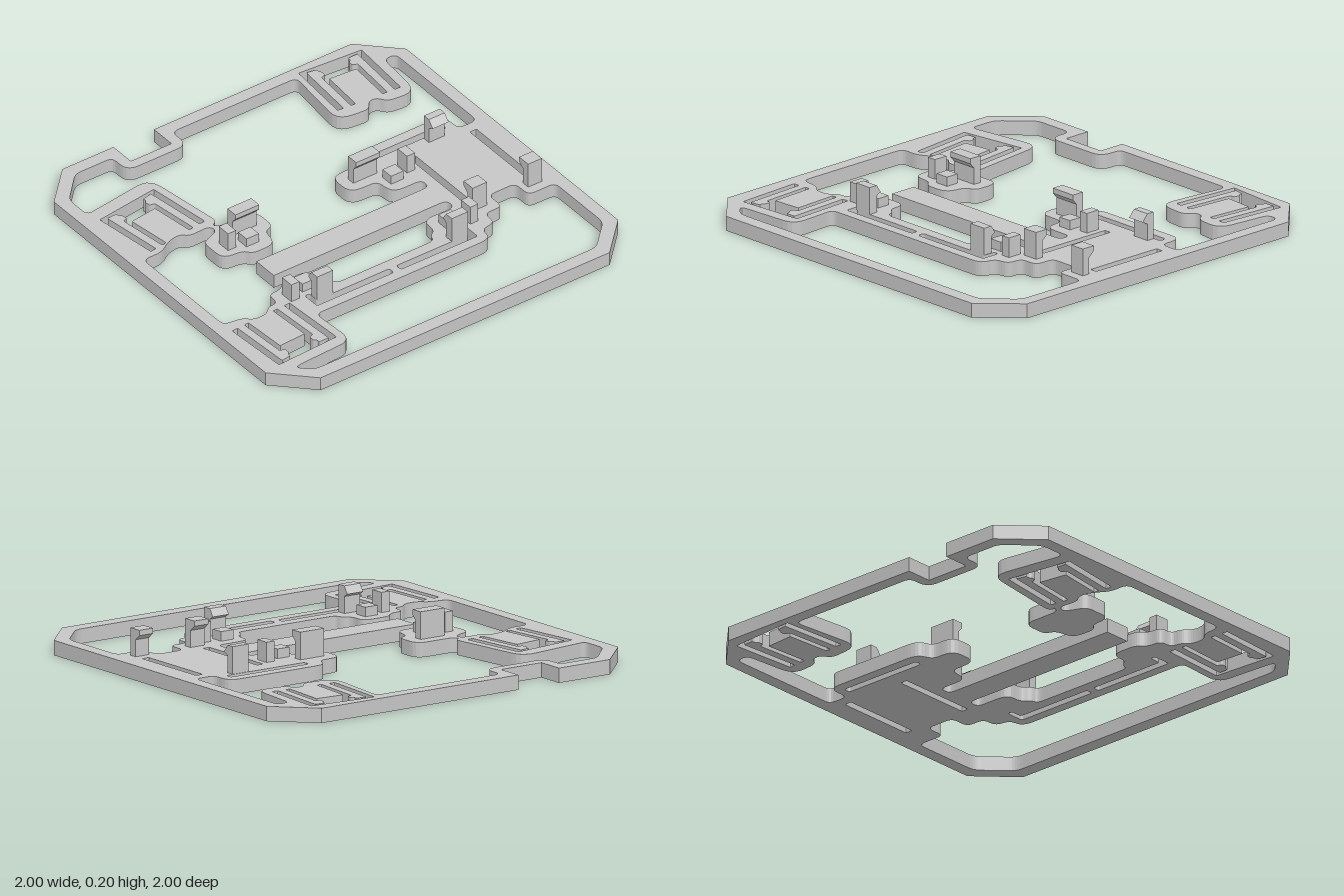
import * as THREE from 'three';

const T = 0.07; // plate thickness

// Closed outline from [x, z, radius] corners, with each corner rounded
function outline(path, pts, defaultR = 0.035) {
  const n = pts.length;
  const v = pts.map(p => new THREE.Vector2(p[0], -p[1]));
  for (let i = 0; i < n; i++) {
    const p = v[i], a = v[(i + n - 1) % n], b = v[(i + 1) % n];
    const r = pts[i][2] ?? defaultR;
    const s = p.clone().lerp(a, Math.min(0.49, r / p.distanceTo(a)));
    const e = p.clone().lerp(b, Math.min(0.49, r / p.distanceTo(b)));
    if (i === 0) path.moveTo(s.x, s.y); else path.lineTo(s.x, s.y);
    if (r > 0) path.quadraticCurveTo(p.x, p.y, e.x, e.y);
  }
  path.closePath();
  return path;
}

const rect = (x0, x1, z0, z1) => [[x0, z0], [x1, z0], [x1, z1], [x0, z1]];

// Opening of a spring clip: a tongue between two hooked fingers
function clipHole(cx, cz, angle) {
  const half = [[0.17, 0], [0.17, 0.338]];
  const finger = [[0.138, 0], [0.138, 0.322], [0.085, 0.318], [0.085, 0.3], [0.073, 0.29],
    [0.073, 0.262], [0.098, 0.255], [0.098, 0], [0.073, 0], [0.073, 0.228]];
  const flip = a => a.map(([u, v]) => [-u, v]);
  const local = [...half, ...flip(half).reverse(), ...flip(finger), ...finger.slice().reverse()];
  const c = Math.cos(angle), s = Math.sin(angle);
  return local.map(([u, v]) => [cx + u * c + v * s, cz + u * s - v * c]);
}

function plateGeometry() {
  // Octagonal frame, counter-clockwise from above
  const shape = outline(new THREE.Shape(), [
    [-1, -0.82], [-1, 0.82], [-0.82, 1], [0.82, 1], [1, 0.82], [1, -0.82], [0.82, -1],
    [-0.3, -1], [-0.3, -0.865], [-0.53, -0.865], [-0.53, -1], [-0.82, -1]], 0);

  // Large opening: back part, round the right clip and the main plate to the bar
  const back = [
    [-0.935, -0.79], [-0.795, -0.935], [-0.585, -0.935], [-0.585, -0.815, 0.06],
    [-0.245, -0.815, 0.06], [-0.245, -0.935], [0.46, -0.935],
    [0.42, -0.56, 0.08], [0.59, -0.545], [0.62, -0.595], [0.665, -0.595], [0.695, -0.545],
    [0.845, -0.53, 0.08], [0.87, -0.815], [0.935, -0.815], [0.935, -0.185],
    [0.83, -0.185], [0.83, -0.305, 0.06], [0.285, -0.305, 0.06], [0.26, -0.225],
    [0.135, -0.225, 0.06], [0.135, -0.075, 0.06], [0.285, -0.07], [0.295, 0.04, 0.06],
    [0.455, 0.04], [0.455, 0.1], [-0.525, 0.1, 0], [-0.525, 0.235, 0], [0.455, 0.235], [0.455, 0.295],
  ];
  // ... and the front and left part, round the pads and the left clips
  const front = [
    [0.275, 0.295, 0.06], [0.275, 0.385], [0.235, 0.41], [0.225, 0.45], [-0.325, 0.45],
    [-0.335, 0.41], [-0.375, 0.385], [-0.375, 0.295, 0.06], [-0.52, 0.295], [-0.56, 0.34],
    [-0.635, 0.34], [-0.635, 0.415],
    [-0.69, 0.415], [-0.725, 0.455], [-0.8, 0.455], [-0.835, 0.415], [-0.935, 0.405],
    [-0.935, -0.215], [-0.83, -0.215], [-0.755, -0.265], [-0.685, -0.275], [-0.655, -0.24],
    [-0.54, -0.245], [-0.53, -0.2], [-0.635, -0.16], [-0.635, -0.01, 0.05],
    [-0.525, 0], [-0.5, 0.04], [-0.37, 0.04, 0.06], [-0.355, -0.065],
    [-0.3, -0.08], [-0.3, -0.22, 0.06], [-0.495, -0.22], [-0.525, -0.245],
    [-0.485, -0.26], [-0.545, -0.705, 0.08], [-0.935, -0.65],
  ];
  // Front opening between the frame and the spring beams
  const lower = [
    [-0.835, 0.86], [-0.53, 0.845, 0.07], [-0.545, 0.59], [0.445, 0.59, 0.06],
    [0.455, 0.51], [0.535, 0.5], [0.535, 0.42], [0.635, 0.42], [0.635, 0.315],
    [0.785, 0.315], [0.785, 0.42], [0.935, 0.42], [0.935, 0.79], [0.795, 0.93],
    [-0.8, 0.93], [-0.865, 0.87],
  ];
  const hole = (pts, r) => shape.holes.push(outline(new THREE.Path(), pts, r));
  hole([...back, ...front]);
  hole(lower);

  // Three spring clips
  hole(clipHole(0.635, -0.61, 0.075), 0.006);
  hole(clipHole(-0.7, -0.27, -0.13), 0.006);
  hole(clipHole(-0.762, 0.458, Math.PI - 0.055), 0.006);

  // Slots in the main plate and behind its back edge
  hole(rect(0.51, 0.545, -0.13, 0.285), 0.005);
  hole(rect(0.855, 0.892, -0.13, 0.285), 0.005);
  hole(rect(0.34, 0.785, -0.252, -0.217), 0.015);

  // Angled slots of the front spring beams
  for (const s of [-1, 1]) {
    const cx = -0.048;
    hole([[0.02, 0.505], [0.43, 0.505], [0.43, 0.445], [0.455, 0.445], [0.455, 0.54], [0.02, 0.54]]
      .map(([x, z]) => [cx + s * x, z]), 0.012);
  }

  const g = new THREE.ExtrudeGeometry(shape, { depth: T, bevelEnabled: false, curveSegments: 5 });
  return g.rotateX(-Math.PI / 2);
}

export function createModel() {
  const group = new THREE.Group();
  const grey = new THREE.MeshStandardMaterial({ color: 0xc6c6c6 });
  grey.name = 'grey plastic';

  const add = (name, geometry) => {
    const m = new THREE.Mesh(geometry, grey);
    m.name = name;
    group.add(m);
    return m;
  };

  add('framePlate', plateGeometry());

  // Plain upright block
  const post = (name, x0, x1, z0, z1, top) => {
    const m = add(name, new THREE.BoxGeometry(x1 - x0, top - T, z1 - z0));
    m.position.set((x0 + x1) / 2, (top + T) / 2, (z0 + z1) / 2);
  };

  // Upright from zBack to zStem with a lip out to zLip, either flat-topped or pointed
  const hook = (name, x0, x1, zBack, zStem, zLip, pointed = false) => {
    const lip = pointed ? [[zLip, 0.165], [zStem, 0.2]] : [[zLip, 0.175], [zLip, 0.2]];
    const points = [[zBack, T], [zStem, T], [zStem, 0.15], ...lip, [zBack, 0.2]];
    const profile = new THREE.Shape(points.map(([z, y]) => new THREE.Vector2(-z, y)));
    const g = new THREE.ExtrudeGeometry(profile, { depth: x1 - x0, bevelEnabled: false });
    add(name, g.rotateY(Math.PI / 2).translate(x0, 0, 0));
  };

  // Corner supports: a low rest and a side guide at each of the four pads
  for (const z of [-0.05, 0.383]) {
    for (const s of [-1, 1]) {
      const cx = -0.05, x = (a, b) => [cx + s * a, cx + s * b].sort((p, q) => p - q);
      post('rest', ...x(0.375, 0.445), z - 0.033, z + 0.033, 0.115);
      const gz = z < 0 ? -0.08 : 0.41;
      post('sideGuide', ...x(0.485, 0.53), gz - 0.036, gz + 0.036, 0.165);
    }
  }

  // Hooks holding the board at the back and on the front beams
  hook('backHookRight', -0.495, -0.36, -0.165, -0.125, -0.103);
  hook('backHookLeft', 0.19, 0.325, -0.165, -0.125, -0.103);
  hook('frontHookRight', -0.477, -0.387, 0.505, 0.46, 0.437, true);
  hook('frontHookLeft', 0.287, 0.378, 0.505, 0.46, 0.437, true);

  // Hooks of the main plate
  hook('plateBackHook', 0.655, 0.745, -0.213, -0.175, -0.145, true);
  hook('plateFrontHookRight', 0.503, 0.583, 0.372, 0.332, 0.302);
  hook('plateFrontHookLeft', 0.818, 0.895, 0.372, 0.332, 0.302);

  return group;
}
